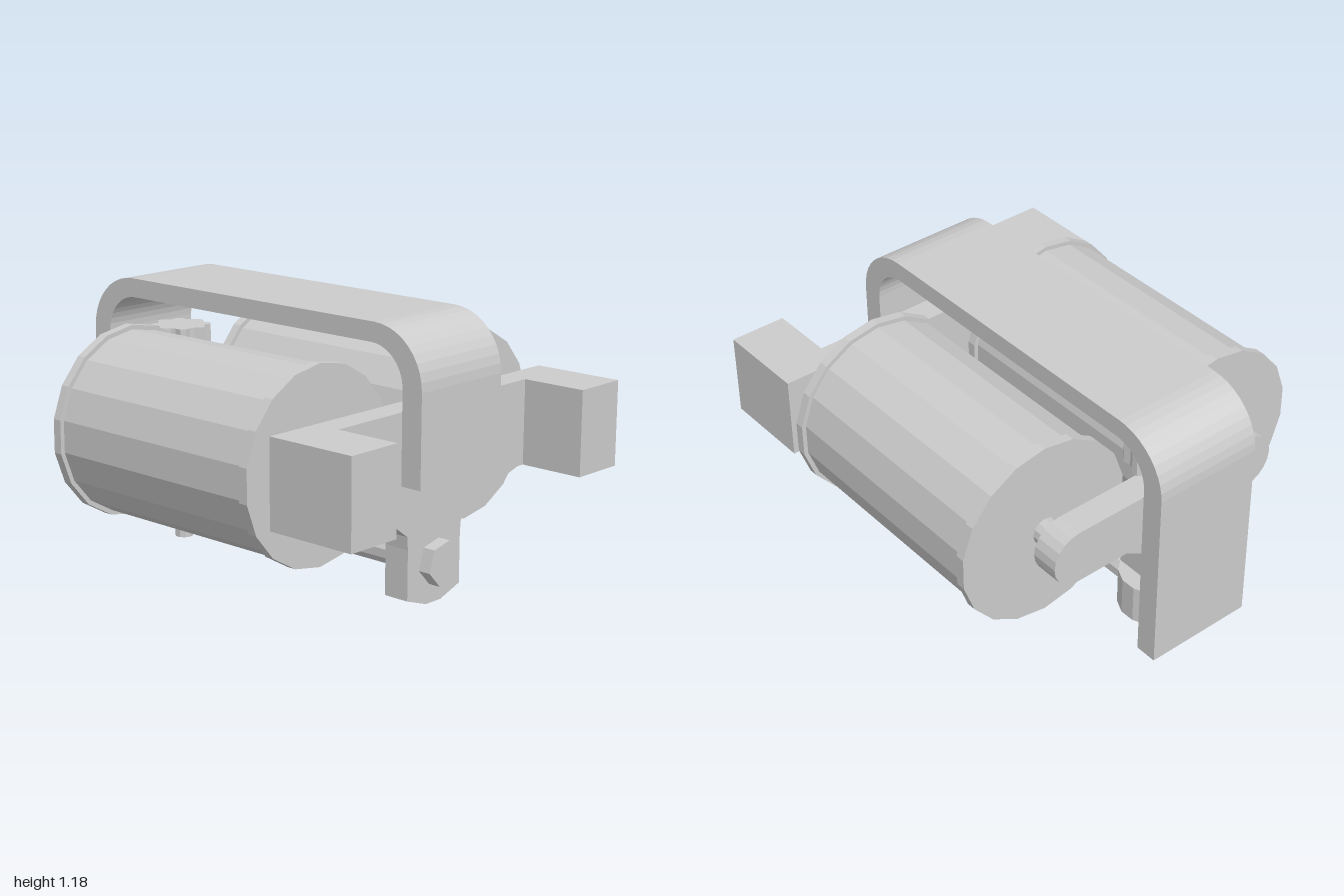
import * as THREE from 'three';

const material = new THREE.MeshStandardMaterial({ color: 0xcccccc, flatShading: true });

export function createModel() {
  const model = new THREE.Group();

  const add = (name, geometry, x = 0, y = 0, z = 0) => {
    const mesh = new THREE.Mesh(geometry, material);
    mesh.name = name;
    mesh.position.set(x, y, z);
    model.add(mesh);
    return mesh;
  };
  // Cylinder lying along z between two depths
  const rodZ = (name, r, sides, x, y, z0, z1) =>
    add(name, new THREE.CylinderGeometry(r, r, z1 - z0, sides).rotateX(Math.PI / 2), x, y, (z0 + z1) / 2);
  // Upright cylinder between two heights
  const rodY = (name, r, sides, y0, y1, z) =>
    add(name, new THREE.CylinderGeometry(r, r, y1 - y0, sides), 0, (y0 + y1) / 2, z);
  const extrude = (shape, depth) =>
    new THREE.ExtrudeGeometry(shape, { depth, bevelEnabled: false, curveSegments: 5 });
  // Symmetric outline from the points of its +x half, listed top to bottom
  const mirrored = (half) => new THREE.Shape([
    ...half.map(([x, y]) => new THREE.Vector2(-x, y)),
    ...half.slice().reverse().map(([x, y]) => new THREE.Vector2(x, y)),
  ]);

  // Bent strap handle, profile drawn in z-y and extruded across x
  const strap = new THREE.Shape();
  strap.moveTo(0.84, 0.56);
  strap.lineTo(0.84, 0.94);
  strap.absarc(0.6, 0.94, 0.24, 0, Math.PI / 2, false);
  strap.absarc(-0.76, 0.94, 0.24, Math.PI / 2, Math.PI, false);
  strap.lineTo(-1, 0.135);
  strap.lineTo(-0.905, 0.135);
  strap.lineTo(-0.905, 0.94);
  strap.absarc(-0.745, 0.94, 0.16, Math.PI, Math.PI / 2, true);
  strap.absarc(0.585, 0.94, 0.16, Math.PI / 2, 0, true);
  strap.lineTo(0.745, 0.56);
  strap.closePath();
  add('strap', extrude(strap, 0.48).rotateY(-Math.PI / 2), 0.24);

  // Front plate with a tapered lug at the bottom
  add('frontPlate', extrude(mirrored([
    [0.81, 0.84], [0.81, 0.48], [0.53, 0.48], [0.26, 0.405], [0.165, 0.335],
    [0.16, 0.28], [0.16, 0.07], [0.045, 0.03],
  ]), 0.115), 0, 0, 0.6);

  for (const side of [-1, 1]) {
    const x = side * 0.443;
    add('poleBlock', new THREE.BoxGeometry(0.245, 0.36, 0.4), side * 0.6875, 0.66, 0.8);
    // Wound coil between two flanges on a core
    rodZ('coil', 0.384, 18, x, 0.637, -0.54, 0.475);
    rodZ('frontFlange', 0.403, 18, x, 0.637, 0.472, 0.512);
    rodZ('backFlange', 0.403, 18, x, 0.637, -0.578, -0.538);
    rodZ('core', 0.058, 12, x, 0.64, -0.67, 0.61);
  }

  // Rear bar with rounded ends and a small lug under the middle
  const bar = new THREE.Shape();
  bar.absarc(0.445, 0.64, 0.12, -Math.PI / 2, Math.PI / 2, false);
  bar.absarc(-0.445, 0.64, 0.12, Math.PI / 2, Math.PI * 1.5, false);
  bar.lineTo(-0.2, 0.52);
  bar.lineTo(-0.12, 0.475);
  bar.lineTo(-0.12, 0.36);
  bar.lineTo(0.12, 0.36);
  bar.lineTo(0.12, 0.475);
  bar.lineTo(0.2, 0.52);
  bar.closePath();
  add('rearBar', extrude(bar, 0.12), 0, 0, -0.78);

  // Adjusting screw with a lobed knob above and a round boss below
  const screwZ = -0.717;
  rodY('screw', 0.04, 10, 0, 0.9, screwZ);
  const lobes = [];
  for (let i = 0; i < 32; i++) {
    const a = (i / 32) * Math.PI * 2;
    const r = i % 4 < 2 ? 0.128 : 0.108;
    lobes.push(new THREE.Vector2(r * Math.cos(a), r * Math.sin(a)));
  }
  add('knob', extrude(new THREE.Shape(lobes), 0.11).rotateX(-Math.PI / 2), 0, 0.845, screwZ);
  rodY('screwBoss', 0.147, 14, 0.125, 0.295, -0.735);
  rodY('screwNut', 0.07, 6, 0.09, 0.126, screwZ);

  // Tie rod along the bottom, clamped to the front lug by two hex nuts
  rodZ('tieRod', 0.058, 10, 0, 0.195, -0.64, 0.72);
  for (const [z0, z1] of [[0.712, 0.77], [0.545, 0.603]]) {
    rodZ('tieRodNut', 0.094, 6, 0, 0.2, z0, z1).rotation.z = -0.3;
  }

  return model;
}
